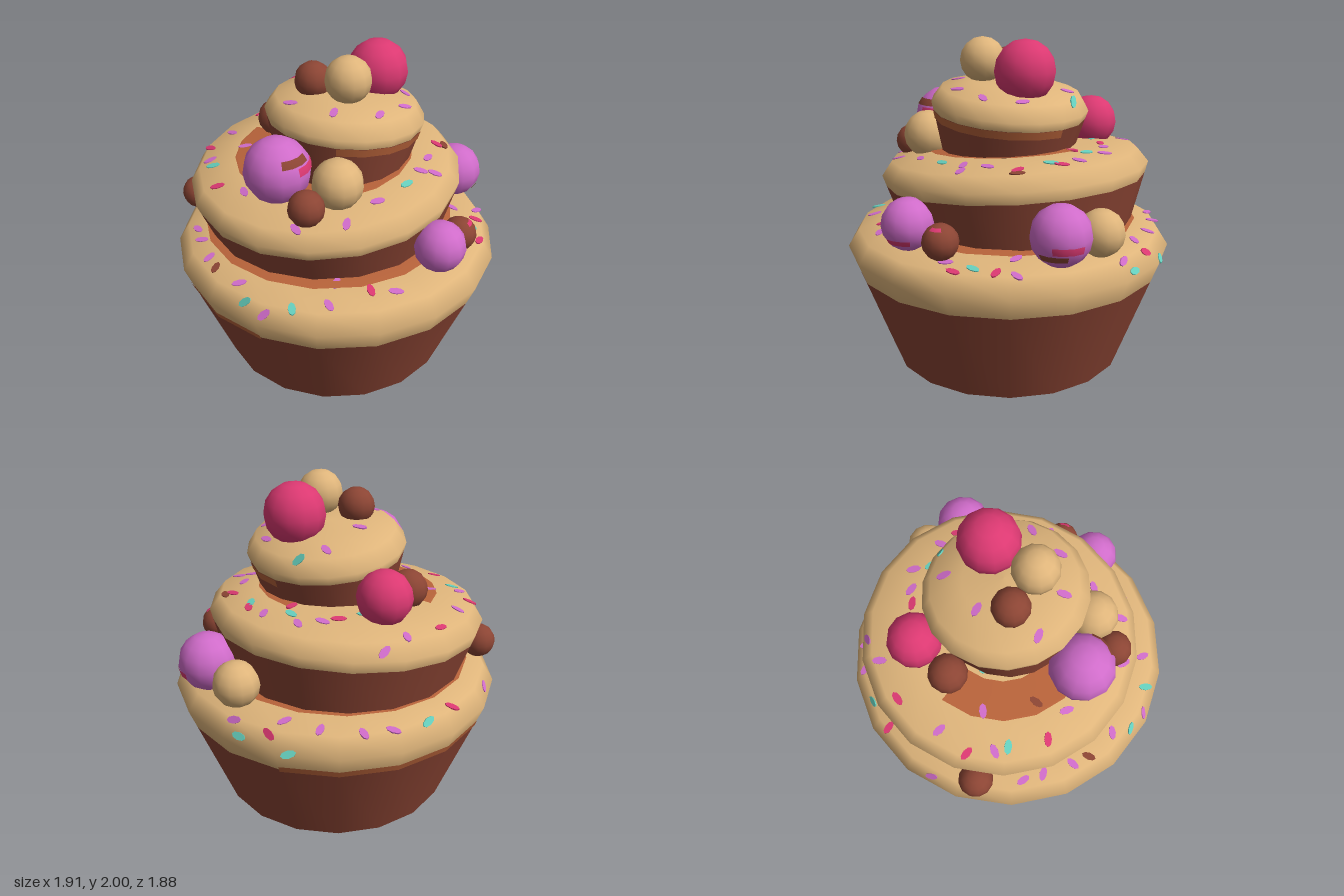
import * as THREE from 'three';

const SIDES = 18, STEP = Math.PI * 2 / SIDES, START = STEP / 2;
const deg = Math.PI / 180;

const mat = (name, color) => {
  const m = new THREE.MeshStandardMaterial({ color });
  m.name = name;
  return m;
};

// Each tier: centre, tilt, cake wall and icing profile as [radius, height]
const TIERS = [
  { name: 'bottomTier', pos: [0, 0, 0], tilt: 0,
    wall: [[0.7, 0.1], [0.911, 0.68]],
    icing: [[0.911, 0.68], [0.955, 0.8], [0.89, 0.9], [0.68, 0.94], [0, 0.95]] },
  { name: 'middleTier', pos: [-0.02, 1.235, -0.07], tilt: 4.7,
    wall: [[0.675, -0.37], [0.77, -0.065]],
    icing: [[0.77, -0.065], [0.79, 0], [0.73, 0.08], [0.5, 0.13], [0, 0.15]] },
  { name: 'topTier', pos: [0.045, 1.625, 0.025], tilt: -5.7,
    wall: [[0.37, -0.31], [0.435, -0.05]],
    icing: [[0.435, -0.05], [0.45, 0], [0.395, 0.08], [0.22, 0.125], [0, 0.14]] },
];

// Sprinkle positions as x, z pairs in hundredths, for each tier and colour
const SPRINKLES = [
  { teal: [27, -84, 86, -38, 92, -9, -75, 45, 49, 66, -87, 21],
    purple: [46, -75, 58, -65, 70, -46, 76, -27, 89, -3, -60, 57, -47, 49, -85, 34, -73, -37,
      -68, -48, 34, 72, 69, 54, -27, 74, 57, 44, -30, -86, -80, -20, -82, 10],
    pink: [8, -87, -37, 65, 44, 75, 27, 62, 60, 60, 86, -25],
    chocolate: [-83, -10] },
  { teal: [-11, -30, 29, -42, 53, -12, 54, 16, 5, 51, -53, -47],
    purple: [-22, -69, 29, -69, 44, -66, -30, -45, 49, -30, 58, -21, 33, 42, -17, 50, 25, 54,
      -59, -10, 60, 1, -50, -54, 20, 48, -60, 33, -40, 50],
    pink: [6, -75, 42, -35, 49, 35, 59, 13, 47, -7, -64, -28, -41, -66],
    chocolate: [52, 38, -45, -20] },
  { teal: [42, -10],
    purple: [1, -19, 29, -18, -3, 35, 18, 34, -30, -5, 34, 20, -22, 20],
    pink: [], chocolate: [] },
];

// Candy balls: colour, x, y, z, radius
const BALLS = [
  ['pink', 0.24, 1.83, 0.085, 0.172], ['tan', -0.05, 1.87, 0.145, 0.129],
  ['chocolate', -0.105, 1.82, -0.07, 0.104], ['pink', 0.2, 1.48, -0.49, 0.152],
  ['chocolate', -0.05, 1.44, -0.47, 0.11], ['purple', -0.505, 1.48, 0.08, 0.183],
  ['tan', -0.32, 1.43, 0.345, 0.14], ['chocolate', -0.52, 1.355, 0.32, 0.1],
  ['purple', 0.055, 1.06, 0.755, 0.145], ['chocolate', 0.285, 1.01, 0.71, 0.1],
  ['purple', 0.75, 1.075, 0.295, 0.165], ['tan', 0.79, 1.04, 0.04, 0.13],
  ['chocolate', -0.51, 1.01, -0.69, 0.1],
];

// Painted streaks on balls: ball index, colour, phi, theta (degrees)
const STREAKS = [
  [5, 'pink', 90, 67.5], [5, 'chocolate', 60, 50], [8, 'pink', 90, 112.5],
  [10, 'pink', 120, 95], [10, 'chocolate', 90, 112.5], [9, 'pink', 90, 28],
];

export function createModel() {
  const model = new THREE.Group();
  model.name = 'cake';
  const mats = {
    chocolate: mat('chocolate', 0x8c4534), tan: mat('tan', 0xdfb57b),
    caramel: mat('caramel', 0xb8633a), pink: mat('pink', 0xdc3972),
    purple: mat('purple', 0xd06cca), teal: mat('teal', 0x66d0be),
  };

  const add = (parent, name, geo, color) => {
    const mesh = new THREE.Mesh(geo, mats[color]);
    mesh.name = name;
    parent.add(mesh);
    return mesh;
  };
  // Lathe whose corners line up with every tier; arc given in whole sides
  const lathe = (pts, first = 0, count = SIDES) => new THREE.LatheGeometry(
    pts.map(p => new THREE.Vector2(p[0], p[1])), count, START + first * STEP, count * STEP);

  const groups = TIERS.map(t => {
    const g = new THREE.Group();
    g.name = t.name;
    g.position.set(...t.pos);
    g.rotation.z = t.tilt * deg;
    add(g, 'cakeWall', lathe(t.wall), 'chocolate');
    add(g, 'icing', lathe(t.icing), 'tan');
    model.add(g);
    return g;
  });

  // Shallow cone underneath
  add(groups[0], 'underside', lathe([[0, 0], [0.7, 0.1]]), 'caramel');

  // Caramel drips: rings at the foot of the upper tiers and strips below icing
  add(groups[0], 'caramelRing', lathe([[0.745, 0.938], [0.68, 0.948], [0.6, 0.95]]), 'caramel')
    .position.set(-0.02, 0, -0.04);
  add(groups[1], 'caramelRing', lathe([[0.515, 0.131], [0.5, 0.134], [0.3, 0.144]], 9, 13), 'caramel');
  add(groups[0], 'caramelStrip', lathe([[0.91, 0.665], [0.924, 0.705]], 5, 9), 'caramel');
  add(groups[2], 'caramelStrip', lathe([[0.428, -0.095], [0.439, -0.05]], -3, 7), 'caramel');

  // Sprinkles lie flat on the faceted icing
  const sprinkle = new THREE.CylinderGeometry(1, 1, 0.008, 8);
  const up = new THREE.Vector3(0, 1, 0);
  let n = 0;
  TIERS.forEach((t, k) => {
    for (const [color, list] of Object.entries(SPRINKLES[k])) {
      for (let i = 0; i < list.length; i += 2) {
        const x = list[i] / 100 - t.pos[0], z = list[i + 1] / 100 - t.pos[2];
        const side = Math.floor((Math.atan2(x, z) - START) / STEP);
        const mid = START + (side + 0.5) * STEP;
        // Distance along the middle of the facet, turned into a profile radius
        const r = (x * Math.sin(mid) + z * Math.cos(mid)) / Math.cos(STEP / 2);
        const j = t.icing.findIndex((p, q) => q > 1 && p[0] <= r);
        const [a, b] = [t.icing[j - 1], t.icing[j]];
        const y = a[1] + (b[1] - a[1]) * (a[0] - r) / (a[0] - b[0]);
        const slope = (b[1] - a[1]) / ((a[0] - b[0]) * Math.cos(STEP / 2));
        const normal = new THREE.Vector3(slope * Math.sin(mid), 1, slope * Math.cos(mid)).normalize();
        const m = add(groups[k], 'sprinkle', sprinkle, color);
        m.position.set(x, y, z).addScaledVector(normal, 0.001);
        m.scale.set(0.042, 1, 0.021);
        m.quaternion.setFromUnitVectors(up, normal)
          .multiply(new THREE.Quaternion().setFromAxisAngle(up, n++ * 2.4));
      }
    }
  });

  // Candy balls and their streaks
  for (const [color, x, y, z, r] of BALLS) {
    add(model, color + 'Ball', new THREE.SphereGeometry(r, 12, 8), color).position.set(x, y, z);
  }
  for (const [i, color, phi, theta] of STREAKS) {
    const [, x, y, z, r] = BALLS[i];
    add(model, 'streak', new THREE.SphereGeometry(r * 1.015, 2, 1, phi * deg, 60 * deg,
      theta * deg, 14 * deg), color).position.set(x, y, z);
  }
  return model;
}
